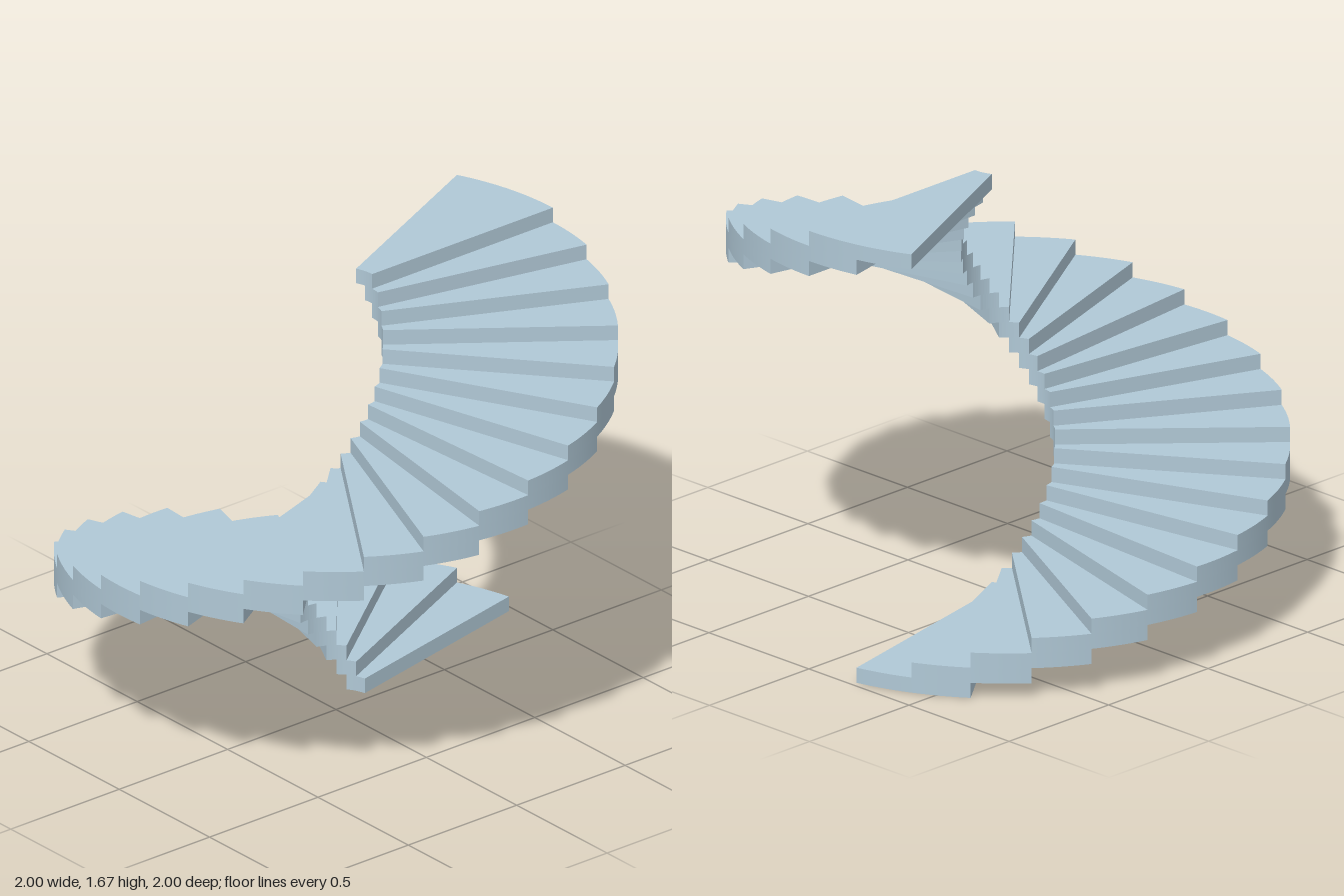
import * as THREE from 'three';
import { toCreasedNormals } from 'three/addons/utils/BufferGeometryUtils.js';

const STEPS = 29;
const INNER = 1 / 6;
const OUTER = 1;
const RISE = 5 / 3 / STEPS;
const TURN = (Math.PI * 2) / STEPS;

// Ring-sector slab, two turns wide so that each tread overlaps its neighbours
function treadGeometry() {
  const start = Math.PI / 2;
  const end = start + 2 * TURN;
  const shape = new THREE.Shape();
  shape.absarc(0, 0, OUTER, start, end, false);
  shape.absarc(0, 0, INNER, end, start, true);
  const slab = new THREE.ExtrudeGeometry(shape, { depth: RISE, bevelEnabled: false, curveSegments: 12 });
  slab.rotateX(-Math.PI / 2);
  return toCreasedNormals(slab, 0.5);
}

export function createModel() {
  const staircase = new THREE.Group();
  staircase.name = 'spiralStaircase';
  const material = new THREE.MeshStandardMaterial({ color: 0xb0c8d6 });
  const geometry = treadGeometry();

  // Treads climb counter-clockwise, seen from above, from the back
  for (let i = 0; i < STEPS; i++) {
    const tread = new THREE.Mesh(geometry, material);
    tread.name = `tread${i + 1}`;
    tread.position.y = i * RISE;
    tread.rotation.y = (i + 1) * TURN;
    staircase.add(tread);
  }
  return staircase;
}
